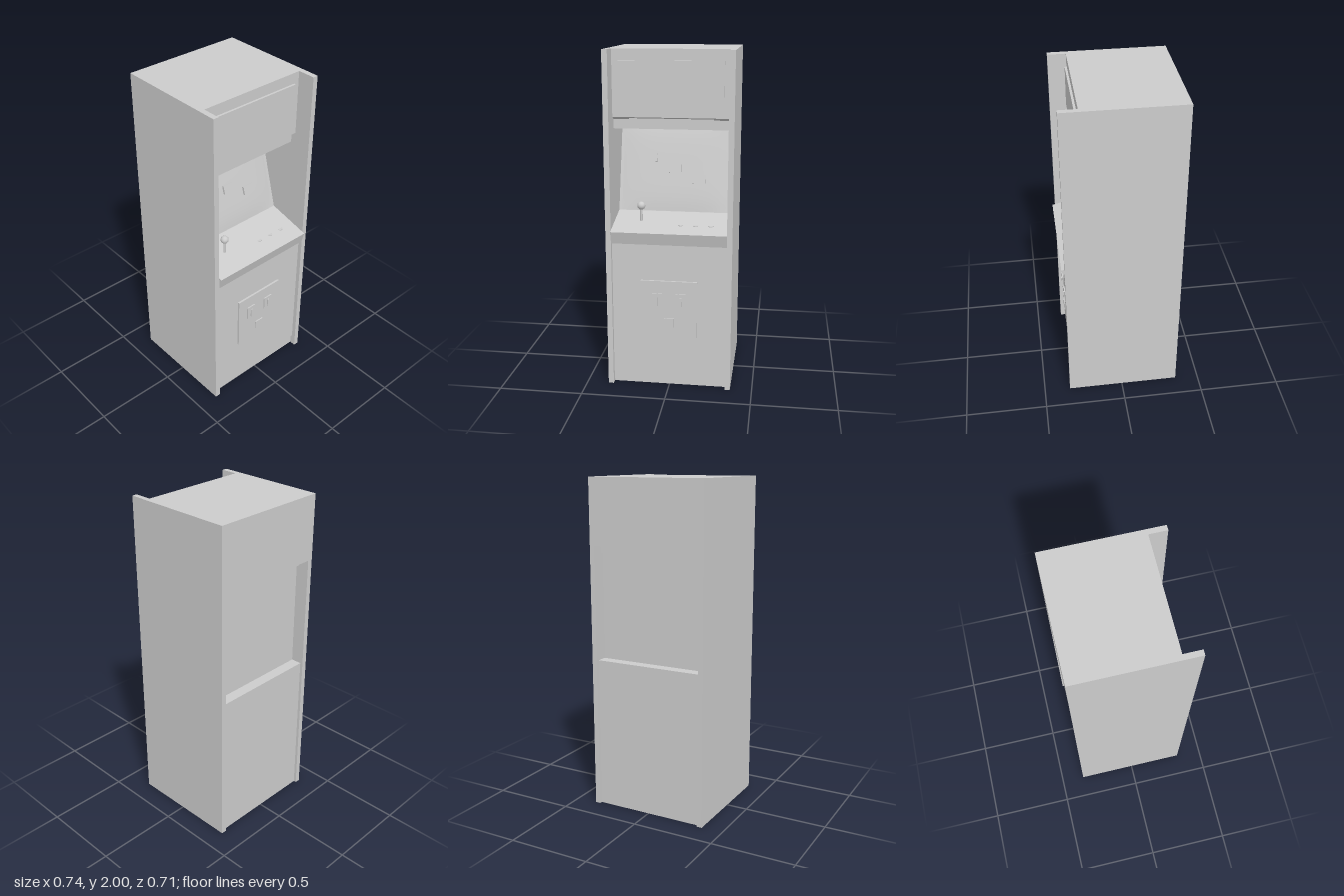
import * as THREE from 'three';

const grey = new THREE.MeshStandardMaterial({ color: 0xcccccc });
grey.name = 'plain grey';

const INNER = 0.676; // width between the side panels

function mesh(name, geometry, parent, x = 0, y = 0, z = 0) {
  const m = new THREE.Mesh(geometry, grey);
  m.name = name;
  m.position.set(x, y, z);
  parent.add(m);
  return m;
}

// Box given by its limits on each axis
function box(name, parent, [x0, x1], [y0, y1], [z0, z1]) {
  return mesh(name, new THREE.BoxGeometry(x1 - x0, y1 - y0, z1 - z0), parent,
    (x0 + x1) / 2, (y0 + y1) / 2, (z0 + z1) / 2);
}

// Panel with a [z, y] section, extruded across the cabinet
function panel(name, parent, points, width = INNER) {
  const shape = new THREE.Shape(points.map(([z, y]) => new THREE.Vector2(z, y)));
  const g = new THREE.ExtrudeGeometry(shape, { depth: width, bevelEnabled: false });
  g.translate(0, 0, -width / 2);
  g.rotateY(-Math.PI / 2);
  return mesh(name, g, parent);
}

export function createModel() {
  const cabinet = new THREE.Group();
  cabinet.name = 'arcadeCabinet';
  const across = [-INNER / 2, INNER / 2];

  // Full-height side panels
  for (const s of [-1, 1]) {
    mesh(s > 0 ? 'leftSide' : 'rightSide', new THREE.BoxGeometry(0.032, 2, 0.693), cabinet,
      s * 0.354, 1, -0.0085);
  }

  // Roof, sign box and the recessed strip under it
  box('roof', cabinet, across, [1.97, 2], [-0.355, 0.23]);
  panel('signBox', cabinet, [[0.23, 1.97], [0.2, 1.97], [0.2, 1.6], [0.23, 1.615]]);
  box('signFront', cabinet, across, [1.97, 2], [0.2, 0.231]);
  box('signPlate', cabinet, [-0.305, 0.305], [1.7, 1.935], [0.225, 0.243]);
  box('speakerStrip', cabinet, across, [1.545, 1.615], [-0.08, 0.2]);
  box('lamp', cabinet, [-0.245, 0.245], [1.601, 1.609], [0.19, 0.215]);

  // Leaning monitor with a softly bulged screen
  const monitor = new THREE.Group();
  monitor.name = 'monitor';
  monitor.position.set(0, 1.2875, 0.013);
  monitor.rotation.x = -0.266;
  cabinet.add(monitor);
  mesh('monitorPanel', new THREE.BoxGeometry(INNER, 0.56, 0.02), monitor, 0, 0, -0.01);
  const bulge = new THREE.PlaneGeometry(0.64, 0.53, 16, 16);
  const p = bulge.attributes.position;
  for (let i = 0; i < p.count; i++) {
    const u = p.getX(i) / 0.32, v = p.getY(i) / 0.265;
    p.setZ(i, 0.001 + 0.011 * (1 - u ** 4) * (1 - v ** 4));
  }
  bulge.computeVertexNormals();
  mesh('screen', bulge, monitor);
  [[-0.15, 0.054], [0, -0.008], [0.145, -0.07]].forEach(([x, y]) =>
    mesh('screenBlock', new THREE.BoxGeometry(0.076, 0.05, 0.024), monitor, x, y, 0.014));

  // Sloping control panel with its undercut front lip
  panel('controlPanel', cabinet,
    [[0.07, 1.033], [0.07, 0.99], [0.3, 0.92], [0.3, 0.89], [0.335, 0.89], [0.355, 0.963]]);

  // Joystick
  const stick = new THREE.Group();
  stick.name = 'joystick';
  stick.position.set(-0.18, 0.99, 0.204);
  cabinet.add(stick);
  mesh('stickShaft', new THREE.CylinderGeometry(0.008, 0.008, 0.1, 12), stick, 0, 0.05, 0);
  mesh('stickBall', new THREE.SphereGeometry(0.024, 16, 12), stick, 0, 0.1, 0);

  // Flat buttons, mostly sunk in the slope
  for (const x of [0.06, 0.148, 0.236]) {
    mesh('button', new THREE.CylinderGeometry(0.018, 0.018, 0.02, 8), cabinet, x, 0.9805, 0.243);
  }

  // Lower front and recessed kick plate
  box('frontPanel', cabinet, across, [0.07, 0.892], [0.295, 0.312]);
  box('kickPlate', cabinet, across, [0, 0.075], [0.28, 0.3]);

  // Coin door with two coin slots and a return flap
  const door = new THREE.Group();
  door.name = 'coinDoor';
  cabinet.add(door);
  box('coinDoorPlate', door, [-0.167, 0.167], [0.318, 0.666], [0.31, 0.324]);
  for (const x of [-0.07, 0.07]) {
    box('coinBlock', door, [x - 0.03, x + 0.03], [0.505, 0.59], [0.32, 0.331]);
    box('coinSlot', door, [x - 0.006, x + 0.006], [0.515, 0.57], [0.33, 0.337]);
  }
  box('coinReturn', door, [-0.03, 0.03], [0.38, 0.435], [0.32, 0.331]);

  // Back: flush top, recessed middle and lower panel with a shelf
  box('upperBack', cabinet, across, [1.607, 1.97], [-0.355, -0.26]);
  box('backRail', cabinet, across, [1.56, 1.607], [-0.29, -0.26]);
  box('middleBack', cabinet, across, [0.92, 1.607], [-0.272, -0.255]);
  box('backShelf', cabinet, across, [0.9, 0.92], [-0.338, -0.255]);
  box('lowerBack', cabinet, across, [0, 0.9], [-0.338, -0.318]);

  return cabinet;
}
